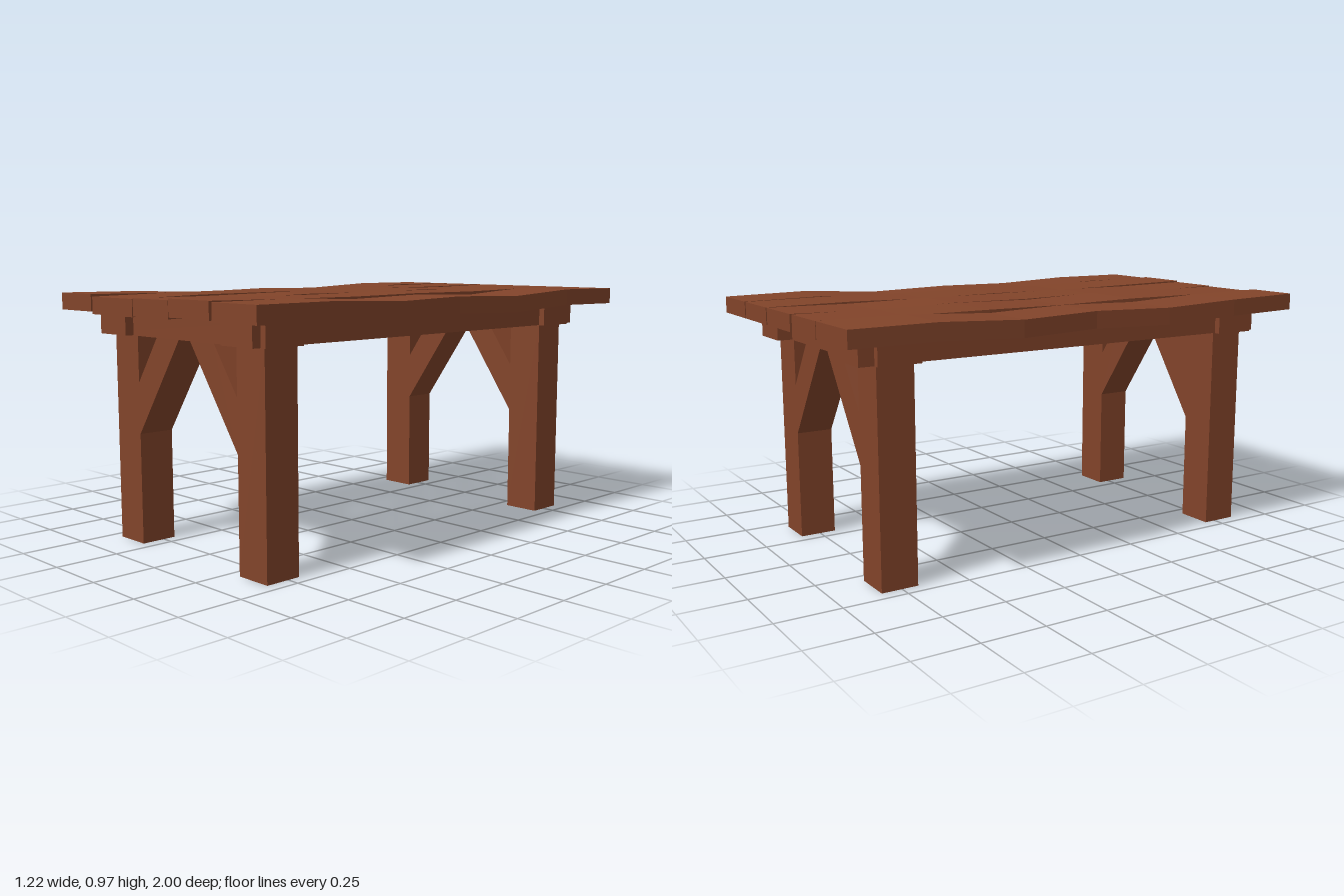
import * as THREE from 'three';

const wood = new THREE.MeshStandardMaterial({ color: 0x82442a, flatShading: true });

// Plank outlines at seven stations from back (z = -1) to front (z = 1):
// left edge, right edge and height of the underside
const PLANKS = [
  { left: [-0.605, -0.607, -0.61, -0.585, -0.6, -0.6, -0.58],
    right: [-0.35, -0.362, -0.373, -0.36, -0.345, -0.36, -0.37],
    base: [0.905, 0.907, 0.893, 0.9, 0.893, 0.905, 0.909] },
  { left: [-0.345, -0.362, -0.378, -0.355, -0.365, -0.36, -0.36],
    right: [-0.13, -0.125, -0.11, -0.125, -0.1, -0.13, -0.095],
    base: [0.905, 0.903, 0.905, 0.9, 0.907, 0.905, 0.9] },
  { left: [-0.11, -0.115, -0.105, -0.12, -0.095, -0.11, -0.09],
    right: [0.12, 0.125, 0.115, 0.12, 0.105, 0.12, 0.125],
    base: [0.905, 0.9, 0.905, 0.903, 0.905, 0.9, 0.903] },
  { left: [0.13, 0.127, 0.12, 0.125, 0.115, 0.125, 0.127],
    right: [0.355, 0.36, 0.363, 0.355, 0.355, 0.362, 0.355],
    base: [0.905, 0.907, 0.903, 0.905, 0.902, 0.905, 0.909] },
  { left: [0.365, 0.365, 0.358, 0.36, 0.362, 0.37, 0.37],
    right: [0.595, 0.6, 0.59, 0.58, 0.6, 0.605, 0.6],
    base: [0.905, 0.909, 0.891, 0.9, 0.894, 0.906, 0.905] },
];
const THICKNESS = 0.065;

function add(parent, name, geometry) {
  const mesh = new THREE.Mesh(geometry, wood);
  mesh.name = name;
  parent.add(mesh);
  return mesh;
}

// Box given by its limits on each axis
function block(parent, name, [x0, x1], [y0, y1], [z0, z1]) {
  add(parent, name, new THREE.BoxGeometry(x1 - x0, y1 - y0, z1 - z0))
    .position.set((x0 + x1) / 2, (y0 + y1) / 2, (z0 + z1) / 2);
}

// Long board whose edges and height wander from station to station
function plankGeometry({ left, right, base }) {
  const geometry = new THREE.BoxGeometry(1, 1, 2, 1, 1, 6);
  const p = geometry.attributes.position;
  for (let i = 0; i < p.count; i++) {
    const s = Math.round((p.getZ(i) + 1) * 3);
    p.setX(i, p.getX(i) < 0 ? left[s] : right[s]);
    p.setY(i, base[s] + (p.getY(i) > 0 ? THICKNESS : 0));
  }
  geometry.computeVertexNormals();
  return geometry;
}

// Diagonal brace between a leg and the cross beam
function braceGeometry(side, depth) {
  const outline = [[0.3, 0.435], [0.3, 0.635], [0.17, 0.82], [0.03, 0.82]];
  const shape = new THREE.Shape(outline.map(([x, y]) => new THREE.Vector2(side * x, y)));
  return new THREE.ExtrudeGeometry(shape, { depth, bevelEnabled: false });
}

export function createModel() {
  const table = new THREE.Group();
  table.name = 'table';

  // Table top
  const top = new THREE.Group();
  top.name = 'tableTop';
  table.add(top);
  PLANKS.forEach((plank, i) => add(top, `plank${i + 1}`, plankGeometry(plank)));

  // Long beams under the planks
  for (const side of [-1, 1]) {
    const x = side < 0 ? [-0.46, -0.29] : [0.29, 0.46];
    block(table, side < 0 ? 'rightBeam' : 'leftBeam', x, [0.818, 0.905], [-0.9, 0.905]);
  }

  // End frames: cross beam, two legs and two braces each
  const frames = [
    { name: 'frontFrame', beam: [0.7, 0.87], leg: [0.7, 0.845] },
    { name: 'backFrame', beam: [-0.84, -0.67], leg: [-0.83, -0.685] },
  ];
  for (const { name, beam, leg } of frames) {
    const frame = new THREE.Group();
    frame.name = name;
    table.add(frame);
    block(frame, 'crossBeam', [-0.485, 0.485], [0.817, 0.904], beam);
    for (const side of [-1, 1]) {
      const label = side < 0 ? 'right' : 'left';
      block(frame, `${label}Leg`, side < 0 ? [-0.45, -0.3] : [0.3, 0.45], [0, 0.82], leg);
      add(frame, `${label}Brace`, braceGeometry(side, leg[1] - leg[0])).position.z = leg[0];
    }
  }
  return table;
}
